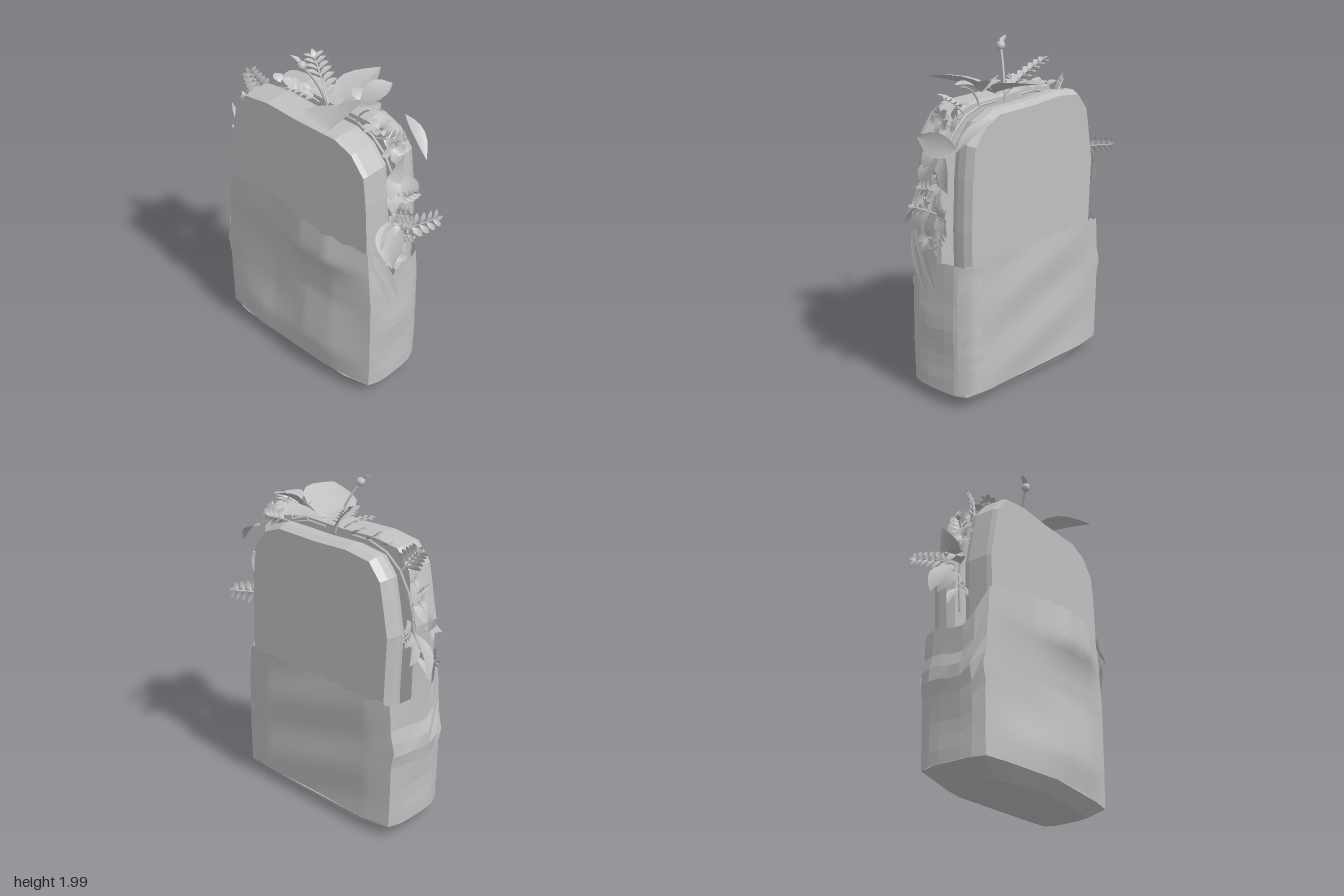
import * as THREE from 'three';

const V = (x, y, z) => new THREE.Vector3(x, y, z);
const grey = new THREE.MeshStandardMaterial({ color: 0xc0c0c0, side: THREE.DoubleSide });
grey.name = 'plain grey';

const mesh = (name, geometry) => {
  const m = new THREE.Mesh(geometry, grey);
  m.name = name;
  return m;
};

// Linear interpolation through [key, value] pairs
function along(table, k) {
  for (let i = 1; i < table.length; i++) {
    const [a, va] = table[i - 1], [b, vb] = table[i];
    if (k <= b) return va + (vb - va) * Math.max(0, (k - a) / (b - a));
  }
  return table[table.length - 1][1];
}

// Sheet of nu by nv cells from fn(u, v) -> [x, y, z]
function sheet(nu, nv, fn, flat = false) {
  const pos = [], idx = [];
  for (let j = 0; j <= nv; j++) for (let i = 0; i <= nu; i++) pos.push(...fn(i / nu, j / nv));
  for (let j = 0; j < nv; j++) for (let i = 0; i < nu; i++) {
    const a = j * (nu + 1) + i, b = a + 1, c = a + nu + 1, d = c + 1;
    idx.push(a, b, d, a, d, c);
  }
  let g = new THREE.BufferGeometry();
  g.setAttribute('position', new THREE.Float32BufferAttribute(pos, 3));
  g.setIndex(idx);
  if (flat) g = g.toNonIndexed();
  g.computeVertexNormals();
  return g;
}

// Bread slice between two depths, with a bevelled crust of the given depth and size
function slice(name, z0, z1, depth, size) {
  const p = [[-0.51, 0.08], [-0.52, 0.9], [-0.535, 1.25], [-0.5, 1.45], [-0.478, 1.565], [-0.395, 1.668], [-0.22, 1.692],
    [0, 1.682], [0.28, 1.685], [0.395, 1.64], [0.483, 1.535], [0.505, 1.35], [0.52, 1.05], [0.51, 0.08]];
  const shape = new THREE.Shape(p.map(([x, y]) => new THREE.Vector2(x, y)));
  const g = new THREE.ExtrudeGeometry(shape, {
    depth: z1 - z0 - 2 * depth, bevelThickness: depth, bevelSize: size, bevelOffset: 0.008 - size, bevelSegments: 1 });
  g.translate(0, 0, z0 + depth);
  return mesh(name, g);
}

// Paper wrap: front, back and two side sheets with torn rims, bevelled foot
const leftX = [[0.08, -0.57], [0.3, -0.578], [0.5, -0.582], [0.58, -0.605], [0.68, -0.575], [0.8, -0.57], [1.05, -0.55]];
const rightX = [[0.08, 0.56], [0.3, 0.565], [0.7, 0.56], [0.85, 0.545], [1.05, 0.53]];
const bulge = [[0.08, 0.27], [0.25, 0.297], [0.35, 0.29], [0.62, 0.26], [0.76, 0.268], [0.84, 0.285], [0.92, 0.32], [1, 0.318], [1.15, 0.305]];
const cornerZ = 0.218;
const torn = x => 0.016 * Math.abs(Math.sin(x * 24)) + 0.008 * Math.sin(x * 61);

function wrap() {
  const g = new THREE.Group();
  g.name = 'paperWrap';
  const frontPoint = (u, v) => {
    const x0 = -0.55 + 1.08 * u;
    const top = 1.05 + 0.08 * Math.sin(Math.PI * u) + torn(x0) * Math.min(1, 8 * u * (1 - u));
    const y = 0.08 + 0.015 * Math.sin(Math.PI * u) * (1 - v) + (top - 0.08) * v;
    const x = THREE.MathUtils.lerp(along(leftX, y), along(rightX, y), u);
    const shape = along([[0, 0], [0.12, 0.15], [0.35, 0.3], [0.5, 0.7], [0.6, 1], [0.78, 0.95], [1, 0]], u);
    const low = THREE.MathUtils.smoothstep(y, 0, 0.5);
    const mix = THREE.MathUtils.lerp(Math.min(1, 5 * u * (1 - u)), shape, low);
    return [x, y, cornerZ + (along(bulge, y) - cornerZ) * mix];
  };
  g.add(mesh('wrapFront', sheet(40, 28, frontPoint)));

  // The back sheet slants a little and carries soft folds
  const backPoint = (u, v) => {
    const x0 = 0.53 - 1.08 * u;
    const y = 0.08 + (0.78 + torn(x0)) * v;
    const x = THREE.MathUtils.lerp(along(rightX, y), along(leftX, y), u);
    const fold = 0.008 * Math.sin(y * 16 + x * 5) * Math.sin(Math.PI * u);
    return [x, y, -0.18 - 0.025 * Math.min(1, 8 * u * (1 - u)) - 0.025 * u + fold];
  };
  g.add(mesh('wrapBack', sheet(40, 16, backPoint)));

  // Sides run between the front and back corners and dip behind the front rim
  const dip = [[0, 1.05], [0.12, 0.93], [0.3, 0.84], [0.45, 0.83], [0.7, 0.87], [1, 0.86]];
  for (const s of [1, -1]) {
    const backZ = s > 0 ? -0.18 : -0.205;
    const sidePoint = (u, v) => {
      const w = s > 0 ? u : 1 - u;
      const y = 0.08 + (along(dip, w) - 0.08) * v;
      const edge = along(s > 0 ? rightX : leftX, y);
      const out = 0.027 * Math.min(1, 6 * w * (1 - w)) + 0.006 * Math.sin(y * 16) * Math.sin(Math.PI * w);
      return [edge + s * out, y, cornerZ + (backZ - cornerZ) * w];
    };
    g.add(mesh(s > 0 ? 'wrapLeftSide' : 'wrapRightSide', sheet(6, 10, sidePoint, true)));
  }

  // Side paper folded over the back
  g.add(mesh('backFlap', sheet(4, 18, (u, v) => {
    const y = 0.1 + 0.76 * v;
    return [along(rightX, y) + 0.022 - (0.1 + torn(y)) * u, y, along([[0, -0.14], [0.25, -0.185], [0.5, -0.212], [1, -0.222]], u) - torn(y) * 0.4];
  })));

  // Foot
  const rim = [[-0.57, 0.218], [-0.42, 0.25], [0, 0.272], [0.4, 0.255], [0.56, 0.218], [0.587, 0.1],
    [0.587, -0.1], [0.56, -0.18], [0.4, -0.205], [-0.4, -0.23], [-0.57, -0.205], [-0.597, -0.1], [-0.597, 0.1]];
  const ring = (i, v) => {
    const [x, z] = rim[Math.round(i * rim.length) % rim.length];
    if (v > 0.5) return [x, Math.abs(x) < 0.1 ? 0.095 : 0.08, z];
    return [x * (x < 0 ? 0.72 : 0.83), x < -0.1 ? 0.005 : x < 0.1 ? 0.03 : 0.018, z * 0.74];
  };
  g.add(mesh('footBevel', sheet(rim.length, 1, ring, true)));
  g.add(mesh('footBase', sheet(rim.length, 1, (u, v) => v > 0.5 ? ring(u, 0) : [0, 0.025, 0], true)));
  return g;
}

// Leaf blade from base to tip; face is where its top looks, blunt < 1 gives a rounder end
function leaf(base, tip, width, face, round = 0.8, curl = 0.1, blunt = 1) {
  const dir = tip.clone().sub(base), len = dir.length();
  dir.normalize();
  const side = dir.clone().cross(face).normalize();
  const up = side.clone().cross(dir);
  return mesh('leaf', sheet(2, 6, (u, v) => {
    const w = width / 2 * Math.pow(Math.max(0, Math.sin(Math.PI * Math.pow(v, round))), blunt) + 0.001;
    const a = 2 * u - 1;
    const lift = curl * len * Math.sin(Math.PI * v) + Math.abs(a) * w * 0.25;
    return base.clone().addScaledVector(dir, v * len).addScaledVector(side, a * w).addScaledVector(up, lift).toArray();
  }));
}

const stem = (a, b, c, r = 0.006) => mesh('stem', new THREE.TubeGeometry(new THREE.QuadraticBezierCurve3(a, b, c), 8, r, 5));

// Sprig: curved stem with paired leaflets
function sprig(a, b, face, pairs = 5, size = 0.075) {
  const g = new THREE.Group();
  g.name = 'sprig';
  const mid = a.clone().lerp(b, 0.5).addScaledVector(face, 0.03);
  const dir = b.clone().sub(a).normalize();
  const side = dir.clone().cross(face).normalize();
  const curve = new THREE.QuadraticBezierCurve3(a, mid, b);
  g.add(stem(a, mid, b, 0.005));
  for (let i = 1; i <= pairs; i++) {
    const p = curve.getPoint(i / (pairs + 0.3)), l = size * (1.15 - 0.45 * i / pairs);
    for (const s of [1, -1]) {
      const tip = p.clone().addScaledVector(side, s * l).addScaledVector(dir, l * 0.6);
      g.add(leaf(p, tip, l * 0.46, face, 1.2, 0.1, 0.7));
    }
  }
  g.add(leaf(b, b.clone().addScaledVector(dir, size * 0.6), size * 0.35, face));
  return g;
}

// Flower: five spoon petals round a small heart
function flower(c, face, r = 0.06) {
  const g = new THREE.Group();
  g.name = 'flower';
  const t = face.clone().cross(V(0.3, 0.2, 1)).normalize(), b = face.clone().cross(t).normalize();
  for (let i = 0; i < 5; i++) {
    const a = i * Math.PI * 0.4;
    const tip = c.clone().addScaledVector(t, r * Math.cos(a)).addScaledVector(b, r * Math.sin(a)).addScaledVector(face, r * 0.3);
    g.add(leaf(c, tip, r * 0.6, face, 1.5, 0.1, 0.7));
  }
  const heart = mesh('flowerHeart', new THREE.IcosahedronGeometry(r * 0.18, 0));
  heart.position.copy(c);
  g.add(heart);
  return g;
}

function greens() {
  const g = new THREE.Group();
  g.name = 'greens';
  const up = V(0, 1, 0), right = V(1, 0.2, 0.2).normalize(), left = V(-1, 0.3, 0.3).normalize(), out = V(0.3, 0.3, 1).normalize();
  // Top: two broad leaves, bud, sprigs and flowers
  g.add(leaf(V(0.1, 1.72, -0.01), V(0.33, 1.815, 0.315), 0.31, V(-0.3, 1, 0), 0.75, 0.03),
    leaf(V(0.11, 1.73, 0), V(0.12, 1.83, -0.325), 0.24, V(-0.1, 1, 0), 0.75, 0.03),
    leaf(V(0.24, 1.76, -0.02), V(0.32, 1.87, -0.19), 0.14, V(0, 1, 0.6), 1.2, 0.1, 0.7),
    leaf(V(0.27, 1.78, -0.04), V(0.4, 1.82, 0.03), 0.1, up, 1.2, 0.1, 0.7),
    leaf(V(0.24, 1.77, -0.04), V(0.15, 1.82, -0.08), 0.08, up, 1.2, 0.1, 0.7),
    stem(V(0.24, 1.68, 0), V(0.26, 1.78, 0), V(0.4, 1.82, -0.02)), stem(V(0.03, 1.66, 0), V(0, 1.84, 0.03), V(-0.06, 1.945, 0.11), 0.007),
    sprig(V(0.03, 1.7, 0), V(-0.17, 1.87, -0.1), up, 7, 0.085), sprig(V(-0.02, 1.7, 0.02), V(-0.15, 1.76, 0.1), up, 4, 0.05),
    sprig(V(0.36, 1.66, 0), V(0.46, 1.75, 0.05), up, 4, 0.08), sprig(V(0.38, 1.64, 0), V(0.5, 1.66, -0.06), right, 4, 0.07),
    flower(V(0.4, 1.7, 0.01), up, 0.09),
    leaf(V(-0.1, 1.68, 0), V(-0.22, 1.74, 0), 0.07, up, 1), leaf(V(-0.21, 1.68, 0), V(-0.32, 1.72, -0.02), 0.08, up, 1),
    leaf(V(-0.24, 1.69, 0.01), V(-0.3, 1.74, 0.03), 0.06, up, 1), leaf(V(-0.34, 1.68, 0), V(-0.4, 1.71, -0.02), 0.06, up, 1));
  const bud = mesh('bud', new THREE.IcosahedronGeometry(0.027, 1));
  bud.position.set(-0.06, 1.952, 0.11);
  g.add(bud, leaf(V(-0.06, 1.955, 0.11), V(-0.125, 1.998, 0.13), 0.03, up));
  // Left side of the body: [base, tip, width] blades, then sprigs and flowers
  for (const [a, b, w] of [[V(0.5, 1.5, -0.09), V(0.58, 1.55, 0.14), 0.14], [V(0.53, 1.46, -0.01), V(0.59, 1.28, -0.09), 0.13],
    [V(0.52, 1.5, 0.04), V(0.58, 1.38, 0.1), 0.1], [V(0.55, 1.42, 0.08), V(0.6, 1.3, 0.1), 0.08], [V(0.55, 1.22, 0.05), V(0.6, 1.02, 0.17), 0.16],
    [V(0.53, 1.3, 0), V(0.58, 1.21, 0.08), 0.07], [V(0.54, 1.16, 0), V(0.58, 1.02, -0.07), 0.08], [V(0.53, 1.38, 0), V(0.57, 1.3, 0.04), 0.07]])
    g.add(leaf(a, b, w, right, 0.9, 0.08, 0.9));
  g.add(flower(V(0.5, 1.65, 0.02), right, 0.085), sprig(V(0.46, 1.6, 0), V(0.53, 1.69, 0.02), right, 3, 0.06),
    sprig(V(0.51, 1.3, 0), V(0.62, 1.38, -0.04), right, 4, 0.06), sprig(V(0.52, 1.24, 0.02), V(0.66, 1.3, 0.04), out, 4, 0.06),
    flower(V(0.59, 1.22, 0.08), right, 0.085), leaf(V(0.54, 1.2, 0.04), V(0.68, 1.02, 0.19), 0.16, V(0.5, 0.4, 1), 0.8),
    sprig(V(0.55, 1.12, 0.02), V(0.68, 1.17, -0.16), right, 5, 0.08), sprig(V(0.54, 1.12, 0.02), V(0.7, 1.2, 0.06), out, 4, 0.06),
    flower(V(0.58, 0.99, 0.06), right, 0.085), sprig(V(0.54, 1.06, 0), V(0.58, 0.92, 0), right, 4, 0.06),
    leaf(V(0.38, 1.68, -0.235), V(0.6, 1.52, -0.16), 0.08, V(0.6, 0.8, 0), 0.9));
  // Right side of the body
  for (const [a, b, w] of [[V(-0.56, 1.26, 0), V(-0.73, 1.39, 0.02), 0.1], [V(-0.58, 1.24, -0.02), V(-0.715, 1.03, -0.06), 0.13],
    [V(-0.56, 1.24, 0.02), V(-0.7, 1.26, 0.06), 0.1], [V(-0.54, 1.38, 0), V(-0.6, 1.26, 0.08), 0.09], [V(-0.52, 1.52, 0), V(-0.57, 1.42, -0.06), 0.09],
    [V(-0.55, 1.2, 0), V(-0.61, 1.08, -0.1), 0.1], [V(-0.55, 1.1, 0), V(-0.66, 0.96, 0.02), 0.06]])
    g.add(leaf(a, b, w, left, 0.9, 0.08, 0.9));
  g.add(sprig(V(-0.45, 1.56, 0), V(-0.53, 1.68, 0.04), out, 5, 0.075), flower(V(-0.54, 1.53, 0), left, 0.065),
    sprig(V(-0.5, 1.42, 0), V(-0.59, 1.5, 0.03), left, 4, 0.065), sprig(V(-0.55, 1.26, -0.03), V(-0.66, 1.3, -0.22), left, 6, 0.065),
    flower(V(-0.61, 1.28, 0.04), left, 0.085), flower(V(-0.56, 1.4, 0.04), left, 0.07), sprig(V(-0.53, 1.14, 0), V(-0.63, 1.04, 0.08), out, 5, 0.065));
  // Bare stems running round the gap
  for (const s of [1, -1]) g.add(stem(V(s * 0.1, 1.68, 0), V(s * 0.62, 1.74, 0), V(s * 0.54, 0.95, 0.01), 0.008));
  // Long torn blades behind the front rim
  g.add(leaf(V(0.55, 1.08, 0.21), V(0.585, 0.65, 0.01), 0.07, right, 0.7, 0.02), leaf(V(0.55, 0.98, 0.23), V(0.59, 0.64, 0.09), 0.06, right, 0.7, 0.02));
  return g;
}

export function createModel() {
  const model = new THREE.Group();
  model.name = 'wrappedSandwich';
  model.add(slice('frontSlice', 0.035, 0.215, 0.03, 0.008), slice('backSlice', -0.19, -0.05, 0.045, 0.02), wrap(), greens());
  return model;
}
